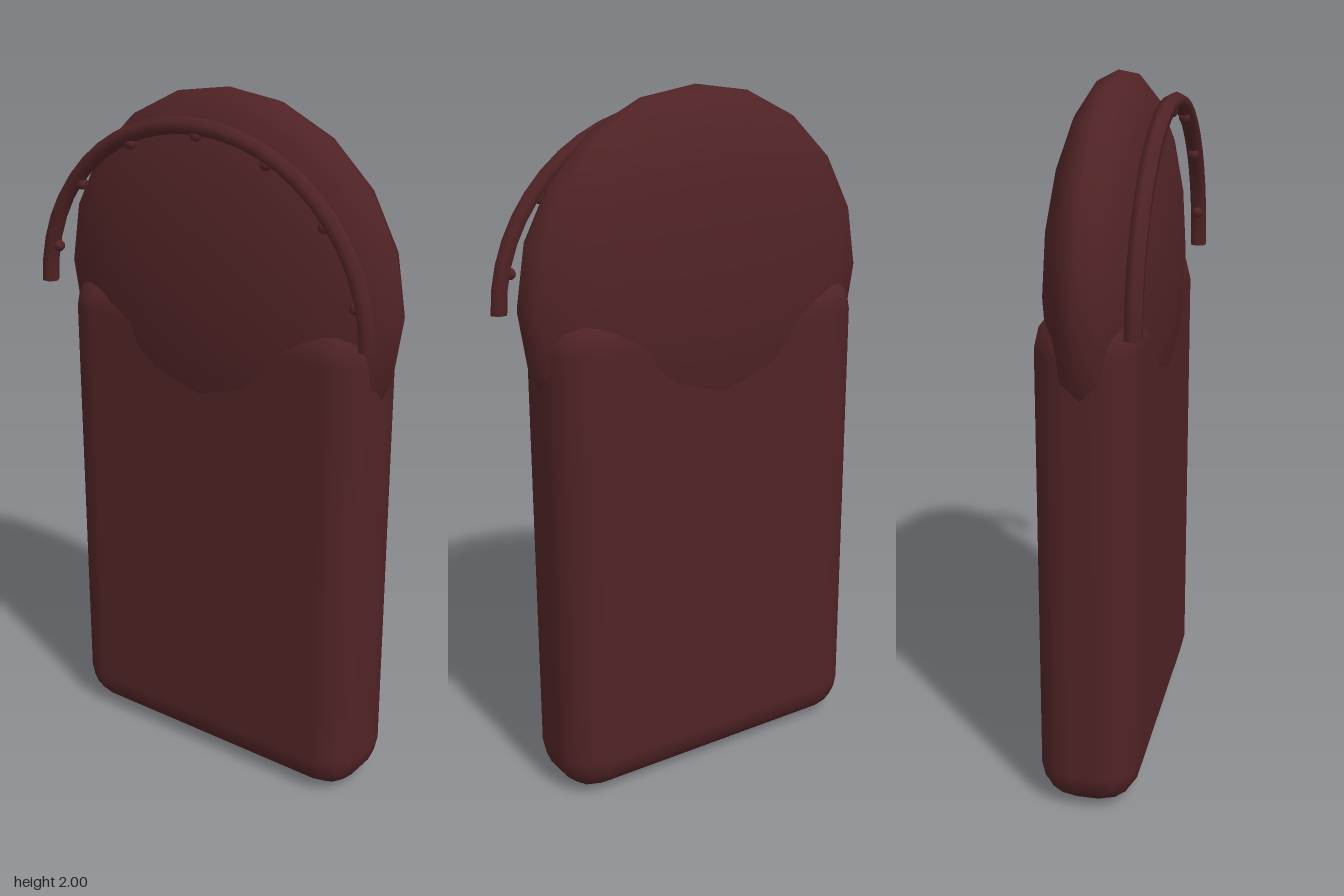
import * as THREE from 'three';
import { RoundedBoxGeometry } from 'three/addons/geometries/RoundedBoxGeometry.js';

export function createModel() {
  const model = new THREE.Group();
  const maroon = new THREE.MeshStandardMaterial({ color: 0x502325 });

  const add = (parent, name, geometry, x = 0, y = 0, z = 0) => {
    const mesh = new THREE.Mesh(geometry, maroon);
    mesh.name = name;
    mesh.position.set(x, y, z);
    parent.add(mesh);
    return mesh;
  };

  // Slab with coarsely rounded edges
  add(model, 'body', new RoundedBoxGeometry(0.29, 1.45, 1.01, 2, 0.115), 0, 0.725, 0);

  // Flattened dome sunk into the top of the slab
  const dome = new THREE.SphereGeometry(1, 20, 10);
  dome.scale(0.17, 0.55, 0.56);
  add(model, 'dome', dome, 0, 1.45, 0);

  // Thin arch along one side, slightly squashed in height
  const R = 0.54, r = 0.025, squash = 0.94;
  const arch = new THREE.Group();
  arch.name = 'arch';
  arch.position.set(-0.146, 1.41, 0);
  model.add(arch);
  const rod = new THREE.TorusGeometry(R, r, 6, 24, Math.PI);
  rod.rotateY(Math.PI / 2);
  rod.scale(1, squash, 1);
  add(arch, 'archRod', rod);

  // Closed ends of the rod
  for (const side of [-1, 1]) {
    const cap = new THREE.CircleGeometry(r, 6);
    cap.rotateX(Math.PI / 2);
    cap.rotateY(Math.PI / 2);
    add(arch, 'archEnd', cap, 0, 0, side * R);
  }

  // Small beads spaced along the inside of the arch
  const count = 7;
  for (let i = 0; i < count; i++) {
    const a = ((i + 0.5) / count) * Math.PI;
    const d = R - 0.025;
    add(arch, 'bead', new THREE.SphereGeometry(0.017, 8, 6),
      0, Math.sin(a) * d * squash, Math.cos(a) * d);
  }

  return model;
}
